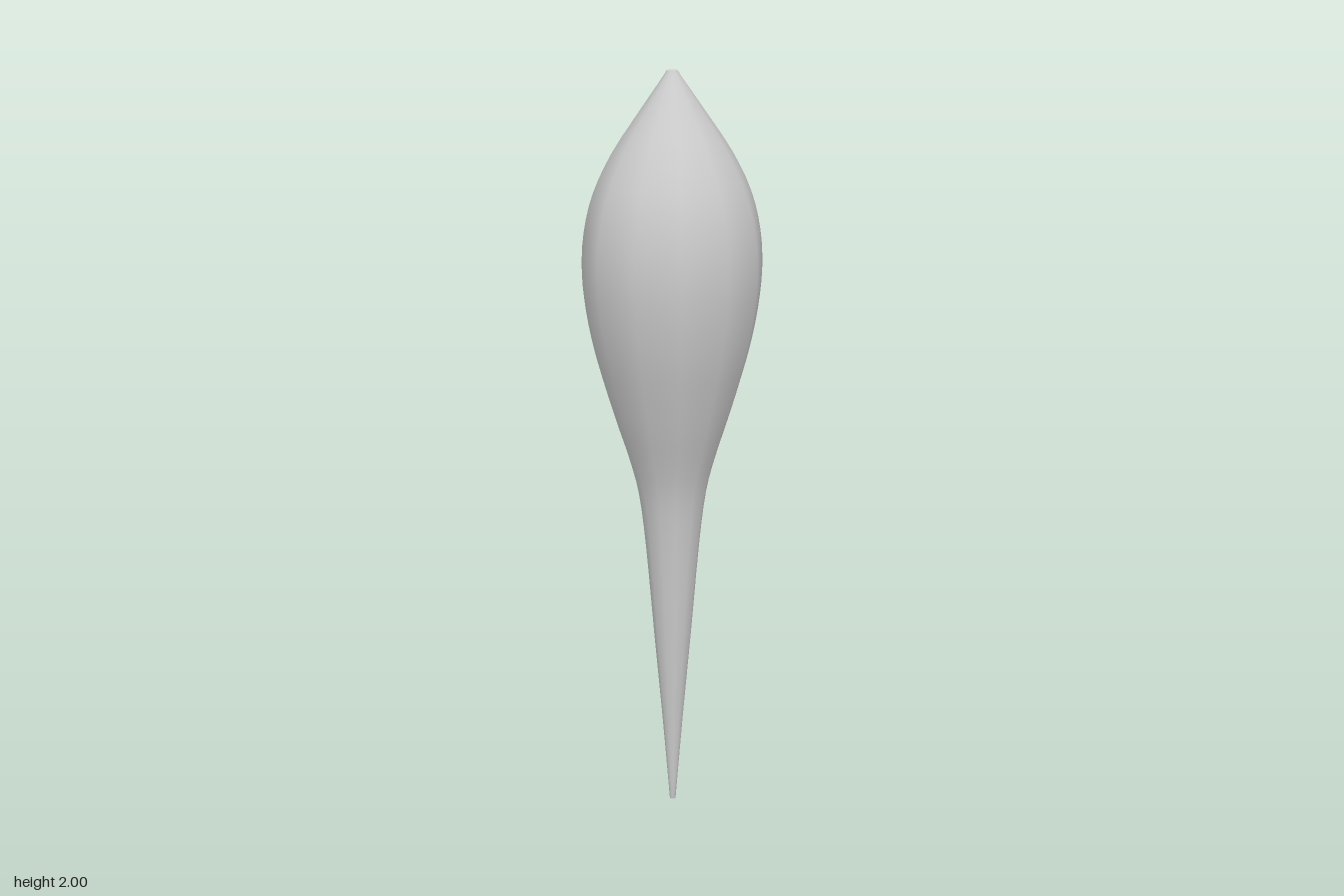
import * as THREE from 'three';

// Half outline of the twelve-sided section, back to front, relative to its axis
const half = [[0, -0.19], [0.094, -0.165], [0.2, -0.115], [0.231, 0], [0.2, 0.117], [0.116, 0.201], [0, 0.232]];
const section = [...half, ...half.slice(1, -1).reverse().map(([x, z]) => [-x, z])];
const WIDEST = 0.231;
const AXIS_Z = -0.021;

// Half width at each height, bottom to top
const profile = [
  [0.008, 0], [0.028, 0.25], [0.05, 0.5], [0.071, 0.75], [0.089, 0.9], [0.114, 1.0],
  [0.146, 1.1], [0.176, 1.2], [0.203, 1.3], [0.222, 1.4], [0.231, 1.5], [0.225, 1.6],
  [0.2, 1.7], [0.151, 1.8], [0.083, 1.9], [0.025, 1.982], [0.014, 2],
];

// Skins the section along the profile and closes both tips
function loft(rings) {
  const n = section.length;
  const pos = [];
  const idx = [];
  rings.forEach((p) => section.forEach(([x, z]) => {
    const s = p.x / WIDEST;
    pos.push(x * s, p.y, AXIS_Z + z * s);
  }));
  for (let r = 0; r < rings.length - 1; r++) {
    for (let i = 0; i < n; i++) {
      const a = r * n + i;
      const b = r * n + (i + 1) % n;
      idx.push(a, a + n, b, b, a + n, b + n);
    }
  }
  const last = (rings.length - 1) * n;
  const bottom = pos.length / 3;
  pos.push(0, 0, AXIS_Z, 0, 2, AXIS_Z);
  for (let i = 0; i < n; i++) {
    const j = (i + 1) % n;
    idx.push(bottom, i, j, bottom + 1, last + j, last + i);
  }
  const geo = new THREE.BufferGeometry();
  geo.setAttribute('position', new THREE.Float32BufferAttribute(pos, 3));
  geo.setIndex(idx);
  geo.computeVertexNormals();
  return geo;
}

export function createModel() {
  const group = new THREE.Group();
  group.name = 'taperedBulb';
  const curve = new THREE.SplineCurve(profile.map(([r, y]) => new THREE.Vector2(r, y)));
  const body = new THREE.Mesh(loft(curve.getPoints(48)), new THREE.MeshStandardMaterial({ color: 0xcccccc }));
  body.name = 'bulbBody';
  group.add(body);
  return group;
}
